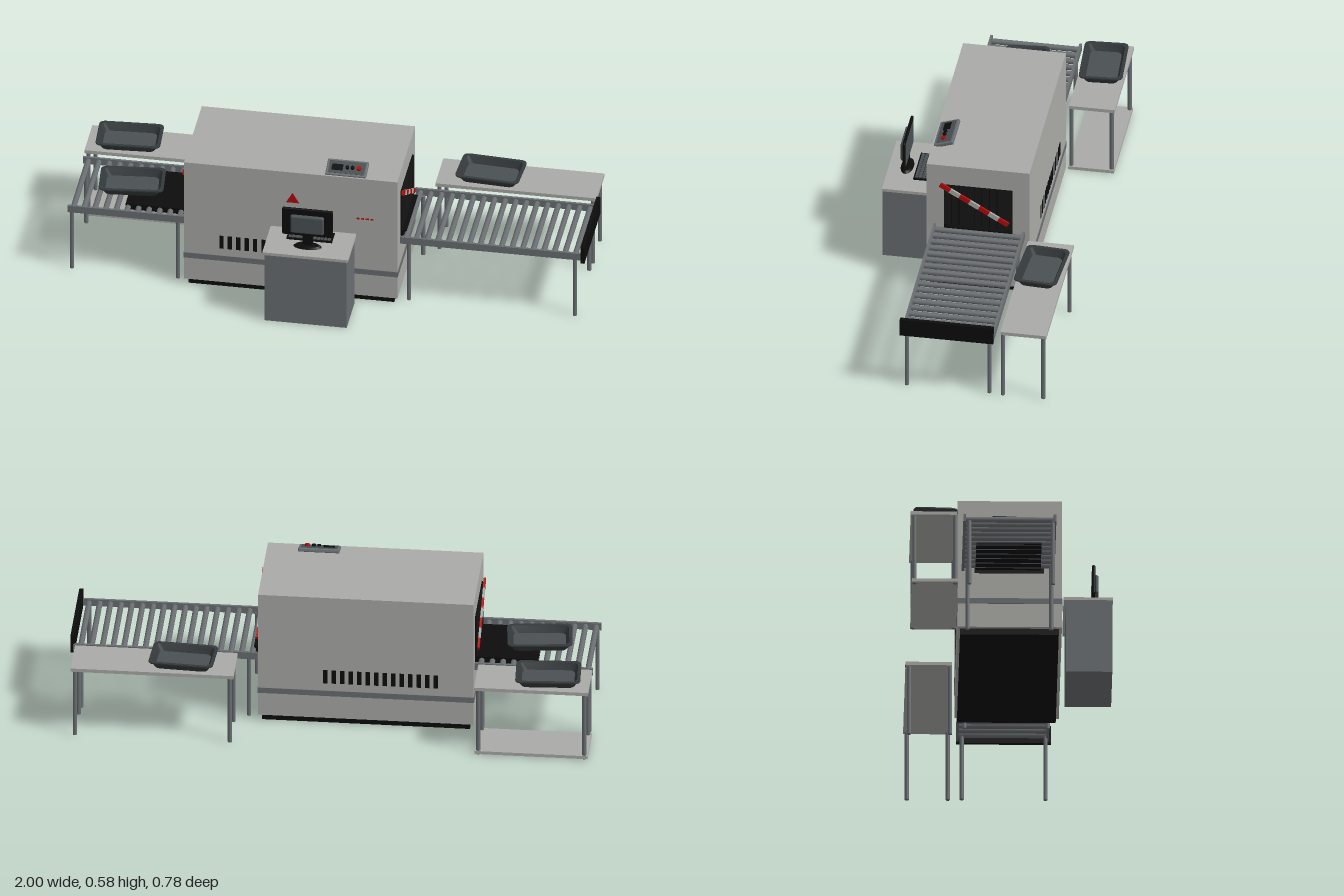
import * as THREE from 'three';
import { toCreasedNormals } from 'three/addons/utils/BufferGeometryUtils.js';
import { RoundedBoxGeometry } from 'three/addons/geometries/RoundedBoxGeometry.js';

const paint = (name, color, side = THREE.FrontSide) => {
  const m = new THREE.MeshStandardMaterial({ color, side });
  m.name = name;
  return m;
};
const mats = {
  shell: paint('light grey', 0xaaaaa7),
  steel: paint('steel grey', 0x6a6e71),
  black: paint('black', 0x0c0c0c),
  flap: paint('curtain black', 0x161616),
  tray: paint('tray dark grey', 0x34393b, THREE.DoubleSide),
  slate: paint('slate grey', 0x4a5153),
  red: paint('red', 0xb00c0c),
};

function add(parent, name, geometry, material, x = 0, y = 0, z = 0) {
  const mesh = new THREE.Mesh(geometry, material);
  mesh.name = name;
  mesh.position.set(x, y, z);
  parent.add(mesh);
  return mesh;
}

// Box given by its minimum and maximum on each axis
const box = (parent, name, material, x0, x1, y0, y1, z0, z1) =>
  add(parent, name, new THREE.BoxGeometry(x1 - x0, y1 - y0, z1 - z0), material,
    (x0 + x1) / 2, (y0 + y1) / 2, (z0 + z1) / 2);

function group(parent, name, x = 0, y = 0, z = 0) {
  const g = new THREE.Group();
  g.name = name;
  g.position.set(x, y, z);
  parent.add(g);
  return g;
}

// Rounded rectangle as a list of [x, z]
function roundedLoop(w, d, r, steps = 4) {
  const points = [];
  [[1, 1], [-1, 1], [-1, -1], [1, -1]].forEach(([sx, sz], q) => {
    for (let i = 0; i <= steps; i++) {
      const a = (q + i / steps) * Math.PI / 2;
      points.push([sx * (w / 2 - r) + r * Math.cos(a), sz * (d / 2 - r) + r * Math.sin(a)]);
    }
  });
  return points;
}

// Tray wall: sections run up the outside, over the rim and down the inside
function trayWall() {
  const sections = [[0.205, 0.125, 0], [0.236, 0.156, 0.029], [0.248, 0.168, 0.029],
    [0.248, 0.168, 0.034], [0.224, 0.144, 0.034], [0.2, 0.12, 0.005]];
  const rings = sections.map(([w, d, y]) => roundedLoop(w, d, 0.022).map(([x, z]) => [x, y, z]));
  const pos = [];
  for (let s = 0; s < rings.length - 1; s++) {
    const a = rings[s], b = rings[s + 1];
    a.forEach((p, i) => {
      const j = (i + 1) % a.length;
      pos.push(...p, ...b[i], ...b[j], ...p, ...b[j], ...a[j]);
    });
  }
  const g = new THREE.BufferGeometry();
  g.setAttribute('position', new THREE.Float32BufferAttribute(pos, 3));
  g.computeVertexNormals();
  return toCreasedNormals(g, 0.6);
}

function addTray(parent, x, y, z, turn) {
  const tray = group(parent, 'tray', x, y, z);
  tray.rotation.y = turn;
  add(tray, 'trayWall', trayWall(), mats.tray);
  const outline = new THREE.Shape(roundedLoop(0.204, 0.124, 0.022).map(p => new THREE.Vector2(...p)));
  const floor = new THREE.ExtrudeGeometry(outline, { depth: 0.006, bevelEnabled: false });
  add(tray, 'trayFloor', floor.rotateX(-Math.PI / 2), mats.slate);
}

// Four legs on the corners of a rectangle
function addLegs(parent, xs, zs, top) {
  for (const x of xs) for (const z of zs) {
    add(parent, 'leg', new THREE.CylinderGeometry(0.008, 0.008, top, 12), mats.steel, x, top / 2, z);
  }
}

function addRollerTable(root, name, x0, x1, legXs) {
  const table = group(root, name);
  for (const z of [-0.184, 0.16]) box(table, 'sideRail', mats.steel, x0, x1, 0.258, 0.287, z - 0.005, z + 0.005);
  const count = Math.floor((x1 - x0 - 0.03) / 0.041);
  for (let i = 0; i <= count; i++) {
    const roller = new THREE.CylinderGeometry(0.011, 0.011, 0.338, 12).rotateX(Math.PI / 2);
    add(table, 'roller', roller, mats.steel, x0 + 0.02 + i * 0.041, 0.272, -0.012);
  }
  addLegs(table, legXs, [-0.167, 0.152], 0.265);
  return table;
}

function addSideTable(root, name, x0, x1) {
  const table = group(root, name);
  box(table, 'tableTop', mats.shell, x0, x1, 0.283, 0.297, -0.39, -0.213);
  addLegs(table, [x0 + 0.015, x1 - 0.015], [-0.376, -0.22], 0.283);
  return table;
}

function addScanner(root) {
  const scanner = group(root, 'scanner');
  box(scanner, 'plinth', mats.black, -0.53, 0.266, 0, 0.026, -0.195, 0.181);
  box(scanner, 'housing', mats.shell, -0.545, 0.28, 0.025, 0.553, -0.205, 0.193);
  box(scanner, 'band', mats.steel, -0.547, 0.282, 0.122, 0.145, -0.207, 0.195);

  // Vent slots on front and back
  for (const z of [-0.205, 0.193]) for (let i = 0; i < 14; i++) {
    const x = -0.4 + i * 0.0325;
    box(scanner, 'ventSlot', mats.black, x - 0.008, x + 0.008, 0.178, 0.235, z - 0.002, z + 0.002);
  }

  // Tunnel mouth, curtain and striped barrier at both ends
  for (const [x, s] of [[0.28, 1], [-0.545, -1]]) {
    const mouth = group(scanner, 'tunnelMouth', x, 0, 0);
    box(mouth, 'opening', mats.black, -0.004, 0.004, 0.25, 0.467, -0.14, 0.125);
    for (let i = 0; i < 9; i++) {
      const z = -0.125 + i * 0.0294;
      box(mouth, 'curtainStrip', mats.flap, s * 0.005 - 0.002, s * 0.005 + 0.002, 0.288, 0.465, z - 0.013, z + 0.013);
    }
    const barrier = group(mouth, 'barrier', s * 0.011, 0.393, 0.007);
    barrier.rotation.x = -Math.atan2(0.156, 0.262);
    for (let i = 0; i < 7; i++) {
      add(barrier, 'barrierSegment', new THREE.BoxGeometry(0.008, 0.019, 0.0436),
        i % 2 ? mats.shell : mats.red, 0, 0, (i - 3) * 0.0436);
    }
  }
  box(scanner, 'conveyorBelt', mats.black, -0.785, 0.302, 0.262, 0.287, -0.137, 0.112);

  // Warning triangle and indicator lights
  const triangle = new THREE.Shape([[-0.025, -0.02], [0.025, -0.02], [0, 0.024]].map(p => new THREE.Vector2(...p)));
  add(scanner, 'warningTriangle', new THREE.ExtrudeGeometry(triangle, { depth: 0.002, bevelEnabled: false }),
    mats.red, -0.125, 0.437, 0.193);
  for (let i = 0; i < 4; i++) {
    const x = 0.128 + i * 0.018;
    box(scanner, 'indicator', mats.red, x - 0.006, x + 0.006, 0.37, 0.376, 0.193, 0.195);
  }

  // Tilted control panel on the roof
  const panel = group(scanner, 'controlPanel', 0.078, 0.563, 0.148);
  panel.rotation.x = 0.32;
  add(panel, 'panelCase', new RoundedBoxGeometry(0.158, 0.015, 0.078, 2, 0.004), mats.steel);
  box(panel, 'panelFace', mats.slate, -0.07, 0.07, 0.007, 0.0085, -0.03, 0.03);
  box(panel, 'panelDisplay', mats.black, -0.058, -0.015, 0.008, 0.011, -0.012, 0.016);
  for (const [x, m] of [[0.002, mats.black], [0.022, mats.black], [0.047, mats.red]]) {
    const r = m === mats.red ? 0.009 : 0.007;
    add(panel, 'button', new THREE.CylinderGeometry(r, r, 0.012, 16), m, x, 0.011, 0.002);
  }
}

function addDesk(root) {
  const desk = group(root, 'operatorDesk');
  box(desk, 'cabinet', mats.steel, -0.2, 0.118, 0, 0.298, 0.213, 0.39);
  box(desk, 'deskTop', mats.shell, -0.208, 0.123, 0.297, 0.309, 0.204, 0.392);

  // Monitor turned towards the scanner
  const monitor = group(desk, 'monitor', -0.045, 0.309, 0.32);
  add(monitor, 'monitorFrame', new RoundedBoxGeometry(0.196, 0.12, 0.012, 2, 0.005), mats.black, 0, 0.108, 0);
  box(monitor, 'screen', mats.slate, -0.088, 0.088, 0.057, 0.159, -0.007, -0.0055);
  add(monitor, 'rearCover', new RoundedBoxGeometry(0.13, 0.078, 0.022, 3, 0.008), mats.slate, 0, 0.103, 0.008);
  box(monitor, 'neck', mats.black, -0.02, 0.02, 0, 0.06, -0.004, 0.004);
  const foot = add(monitor, 'foot', new THREE.CylinderGeometry(0.045, 0.055, 0.008, 28), mats.black, 0, 0.004, 0.002);
  foot.scale.z = 0.45;

  // Keyboard
  const keyboard = group(desk, 'keyboard', -0.045, 0.309, 0.253);
  box(keyboard, 'keyboardBase', mats.black, -0.088, 0.088, 0, 0.006, -0.032, 0.032);
  for (let row = 0; row < 4; row++) for (let col = 0; col < 12; col++) {
    const x = (col - 5.5) * 0.0137, z = (row - 1.5) * 0.0135;
    box(keyboard, 'key', mats.slate, x - 0.006, x + 0.006, 0.005, 0.009, z - 0.006, z + 0.006);
  }
}

export function createModel() {
  const root = new THREE.Group();
  root.name = 'baggageScanner';
  addScanner(root);
  addDesk(root);

  const exit = addRollerTable(root, 'exitRollerTable', 0.285, 0.99, [0.318, 0.96]);
  box(exit, 'endStop', mats.black, 0.984, 1, 0.25, 0.322, -0.188, 0.173);
  addRollerTable(root, 'entryRollerTable', -1, -0.546, [-0.985, -0.575]);

  const entrySide = addSideTable(root, 'entrySideTable', -1, -0.564);
  box(entrySide, 'lowerShelf', mats.shell, -0.998, -0.566, 0.003, 0.016, -0.386, -0.21);
  addSideTable(root, 'exitSideTable', 0.357, 0.98);

  addTray(root, -0.78, 0.288, -0.01, 0.1);
  addTray(root, -0.84, 0.297, -0.3, 0.06);
  addTray(root, 0.557, 0.297, -0.3, -0.06);
  return root;
}
